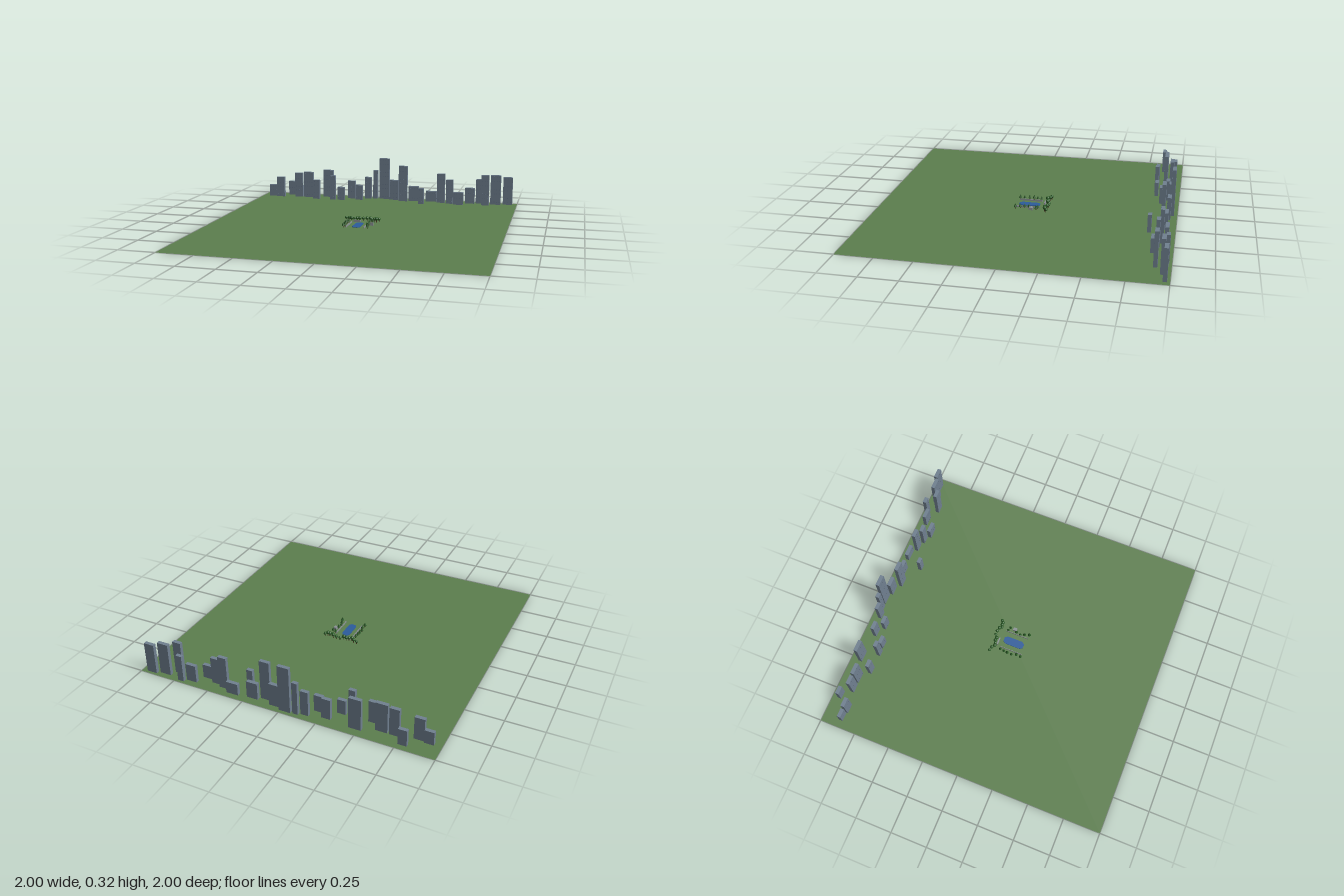
import * as THREE from 'three';

const mat = (name, color, side = THREE.FrontSide) => {
  const m = new THREE.MeshStandardMaterial({ color, side });
  m.name = name;
  return m;
};

export function createModel() {
  const model = new THREE.Group();
  model.name = 'parkAndSkyline';
  const grass = mat('grass', 0x5c7e4e, THREE.DoubleSide);
  const concrete = mat('concrete', 0x708090);
  const glass = mat('windowGlass', 0x66758a);
  const water = mat('water', 0x2c5c9c);
  const leaf = mat('foliage', 0x2a5a26);
  leaf.flatShading = true;
  const bark = mat('bark', 0x4a3420);
  const stone = mat('stone', 0x8c9296);

  const add = (parent, name, geometry, material, x, y, z) => {
    const mesh = new THREE.Mesh(geometry, material);
    mesh.name = name;
    mesh.position.set(x, y, z);
    parent.add(mesh);
    return mesh;
  };
  const box = (parent, name, w, h, d, material, x, y, z) =>
    add(parent, name, new THREE.BoxGeometry(w, h, d), material, x, y + h / 2, z);

  // Ground sheet
  add(model, 'ground', new THREE.PlaneGeometry(2, 2).rotateX(-Math.PI / 2), grass, 0, 0, 0);

  // Skyline: x, z, width, height of each block
  const blocks = [
    [-.92, -.875, .06, .09], [-.855, -.865, .065, .155], [-.785, -.95, .057, .11],
    [-.71, -.89, .063, .19], [-.63, -.89, .077, .2], [-.55, -.835, .053, .15],
    [-.48, -.935, .08, .215], [-.415, -.835, .043, .19], [-.35, -.84, .057, .1],
    [-.285, -.92, .06, .14], [-.215, -.88, .057, .115], [-.155, -.945, .052, .17],
    [-.1, -.96, .036, .225], [-.03, -.965, .078, .32], [.05, -.945, .07, .155],
    [.13, -.91, .067, .275], [.21, -.935, .077, .115], [.285, -.835, .042, .12],
    [.345, -.95, .083, .08], [.425, -.92, .06, .225], [.495, -.9, .053, .185],
    [.565, -.875, .075, .095], [.645, -.945, .072, .12], [.71, -.97, .042, .185],
    [.765, -.905, .058, .23], [.84, -.95, .077, .225], [.93, -.97, .07, .21],
  ];
  const skyline = new THREE.Group();
  skyline.name = 'skyline';
  model.add(skyline);
  const depth = .025;
  blocks.forEach(([x, z, w, h], i) => {
    const tower = new THREE.Group();
    tower.name = 'tower';
    tower.position.set(x, 0, z);
    skyline.add(tower);
    box(tower, 'towerBlock', w, h, depth, concrete, 0, 0, 0);
    // Scattered windows on the park side
    const cols = Math.max(2, Math.floor(w / .018)), rows = Math.floor(h / .03);
    for (let r = 0; r < rows; r++) for (let c = 0; c < cols; c++) {
      if ((r * 5 + c * 3 + i) % 3 === 0) continue;
      box(tower, 'window', .005, .007, .001, glass,
        ((c + .5) / cols - .5) * w, (r + .5) * h / rows, depth / 2 + .0005);
    }
  });

  // Long pool with clipped corners
  const pool = new THREE.Shape([
    [-.014, -.073], [.014, -.073], [.027, -.055], [.027, .053],
    [.014, .07], [-.014, .07], [-.027, .053], [-.027, -.055],
  ].map(([x, z]) => new THREE.Vector2(x, -z)));
  add(model, 'pool', new THREE.ExtrudeGeometry(pool, { depth: .004, bevelEnabled: false })
    .rotateX(-Math.PI / 2), water, 0, 0, 0);

  // Low garden walls, bench and kiosk
  for (const side of [-1, 1]) box(model, 'gardenWall', .003, .012, .16, stone, side * .062, 0, 0);
  box(model, 'bench', .05, .014, .008, stone, -.03, 0, -.103);
  box(model, 'kiosk', .02, .018, .026, stone, .092, 0, -.027);

  // Trees: pointed beside the pool, round behind it
  const tree = (x, z, round, k) => {
    const t = new THREE.Group();
    t.name = round ? 'roundTree' : 'pointedTree';
    t.position.set(x, 0, z);
    t.scale.setScalar(k);
    model.add(t);
    add(t, 'trunk', new THREE.CylinderGeometry(.002, .003, .016, 6), bark, 0, .008, 0);
    if (round) add(t, 'crown', new THREE.IcosahedronGeometry(.0125, 1), leaf, 0, .025, 0);
    else add(t, 'crown', new THREE.ConeGeometry(.0105, .024, 8), leaf, 0, .023, 0);
  };
  [[-.08, -.07], [-.083, -.043], [-.086, -.016], [-.088, .016], [-.077, .048], [-.081, .08],
    [.07, -.07], [.093, -.062], [.075, -.012], [.07, .02], [.08, .048], [.09, .08]]
    .forEach(([x, z], i) => tree(x, z, false, .93 + (i % 3) * .06));
  [[-.117, -.135], [-.092, -.128], [-.073, -.113], [-.053, -.118], [-.036, -.125], [-.016, -.122],
    [.005, -.138], [.032, -.138], [.058, -.132], [.07, -.117], [.087, -.124], [.102, -.123], [.118, -.135]]
    .forEach(([x, z], i) => tree(x, z, true, .85 + (i % 3) * .08));

  return model;
}
